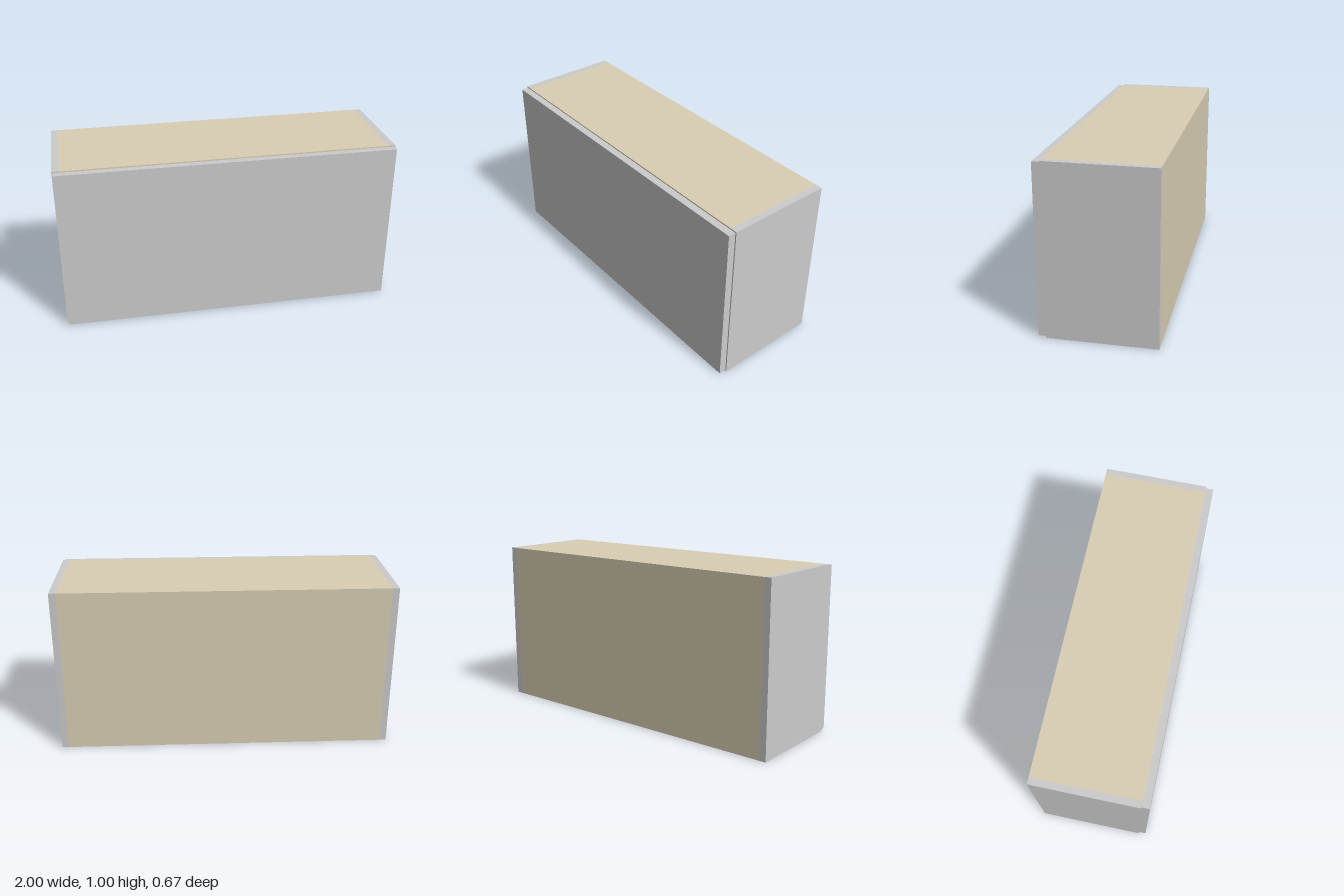
import * as THREE from 'three';

export function createModel() {
  const group = new THREE.Group();
  const grey = new THREE.MeshStandardMaterial({ color: 0xcccccc });
  const beige = new THREE.MeshStandardMaterial({ color: 0xd9cfb5 });

  const T = 0.04;                       // board thickness
  const back = -0.333, front = 0.29;    // carcass depth range
  const depth = front - back, midZ = (front + back) / 2;
  const innerWidth = 2 - 2 * T;

  function board(name, size, position, material) {
    const mesh = new THREE.Mesh(new THREE.BoxGeometry(...size), material);
    mesh.name = name;
    mesh.position.set(...position);
    group.add(mesh);
  }

  // Side panels run the full height
  for (const [name, s] of [['leftSide', 1], ['rightSide', -1]]) {
    board(name, [T, 1, depth], [s * (1 - T / 2), 0.5, midZ], grey);
  }

  // Top, bottom and back boards sit between the sides
  board('topPanel', [innerWidth, T, depth], [0, 1 - T / 2, midZ], beige);
  board('bottomPanel', [innerWidth, T, depth], [0, T / 2, midZ], beige);
  board('backPanel', [innerWidth, 1 - 2 * T, T], [0, 0.5, back + T / 2], beige);

  // Front door, slightly smaller than the carcass
  board('door', [1.985, 0.985, 0.043], [0, 0.5, front + 0.0215], grey);

  return group;
}
